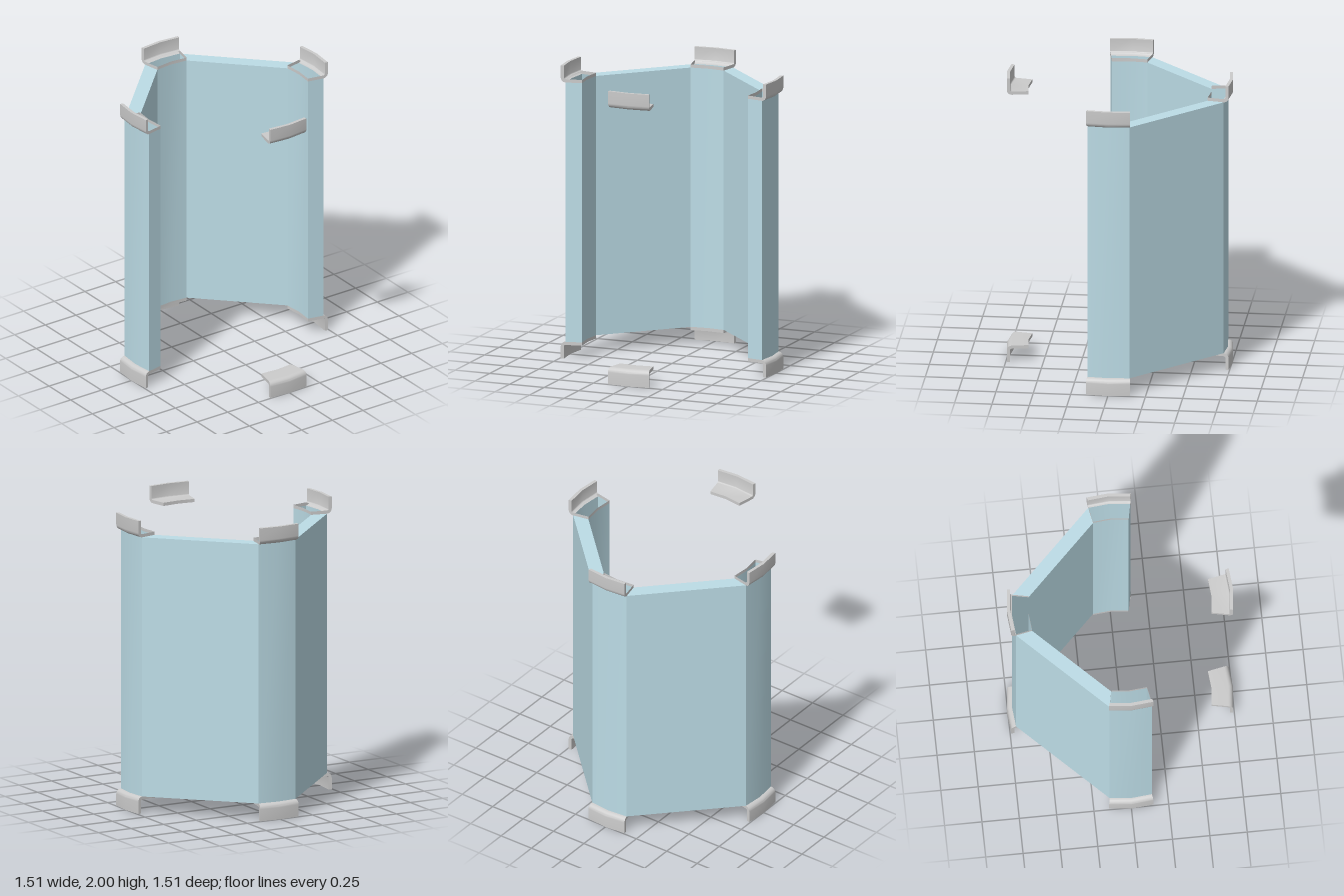
import * as THREE from 'three';
import { toCreasedNormals } from 'three/addons/utils/BufferGeometryUtils.js';

const WALL_R = 0.7237, INNER_R = 0.612, LIP_R = 0.757;
const BASE = 0.115, TOP = 2 - BASE;
const HALF = 11.25; // half the arc of one corner, in degrees

// Point at an angle (degrees from +z towards +x), radius and height
function polar(deg, r, y) {
  const a = THREE.MathUtils.degToRad(deg);
  return [Math.sin(a) * r, y, Math.cos(a) * r];
}

// Geometry from quads whose corners run counter-clockwise seen from outside
function fromQuads(quads) {
  const pos = quads.flatMap(([a, b, c, d]) => [...a, ...b, ...c, ...a, ...c, ...d]);
  const geo = new THREE.BufferGeometry();
  geo.setAttribute('position', new THREE.Float32BufferAttribute(pos, 3));
  return toCreasedNormals(geo, THREE.MathUtils.degToRad(25));
}

// Hollow wall: three curved corners joined by two flat diagonal panels
function wallGeometry() {
  const angles = [90, 180, 270].flatMap((m) => [m - HALF, m, m + HALF]);
  const quads = [];
  const ring = (deg) => [
    polar(deg, INNER_R, BASE), polar(deg, WALL_R, BASE),
    polar(deg, WALL_R, TOP), polar(deg, INNER_R, TOP),
  ];
  for (let i = 0; i < angles.length - 1; i++) {
    const a = ring(angles[i]), b = ring(angles[i + 1]);
    quads.push([a[1], b[1], b[2], a[2]]); // outside
    quads.push([b[0], a[0], a[3], b[3]]); // inside
    if (i % 3 === 2) { // only the diagonal panels are closed above and below
      quads.push([a[2], b[2], b[3], a[3]]);
      quads.push([a[0], b[0], b[1], a[1]]);
    }
  }
  quads.push(ring(angles[0]));
  quads.push(ring(angles[angles.length - 1]).reverse());
  return fromQuads(quads);
}

// Angled clip: flange, rounded bend and upright lip, swept round the arc
function clipGeometry(closedFlange) {
  const bend = LIP_R - WALL_R, thick = 0.022, steps = 6;
  const path = (rad) => {
    const pts = [[INNER_R, TOP + bend - rad]];
    for (let k = 0; k <= steps; k++) {
      const t = (k / steps - 1) * Math.PI / 2;
      pts.push([WALL_R + rad * Math.cos(t), TOP + bend + rad * Math.sin(t)]);
    }
    pts.push([WALL_R + rad, 2]);
    return pts;
  };
  const outer = path(bend), inner = path(bend - thick);
  const last = outer.length - 1;
  const quads = [];
  for (const [a, b] of [[-HALF, 0], [0, HALF]]) {
    const O = (deg, k) => polar(deg, ...outer[k]);
    const I = (deg, k) => polar(deg, ...inner[k]);
    for (let k = 0; k < last; k++) {
      if (k > 0 || closedFlange) {
        quads.push([O(a, k), O(b, k), O(b, k + 1), O(a, k + 1)]);
        quads.push([I(b, k), I(a, k), I(a, k + 1), I(b, k + 1)]);
      }
      // Side ends
      if (a < 0) quads.push([I(a, k), O(a, k), O(a, k + 1), I(a, k + 1)]);
      else quads.push([I(b, k + 1), O(b, k + 1), O(b, k), I(b, k)]);
    }
    quads.push([O(b, 0), O(a, 0), I(a, 0), I(b, 0)]); // flange edge
    quads.push([O(a, last), O(b, last), I(b, last), I(a, last)]); // lip edge
  }
  return fromQuads(quads);
}

export function createModel() {
  const model = new THREE.Group();
  model.name = 'openHousing';
  const grey = new THREE.MeshStandardMaterial({ color: 0xcccccc, side: THREE.DoubleSide });
  const blue = new THREE.MeshStandardMaterial({ color: 0xbcdce6, side: THREE.DoubleSide });

  const wall = new THREE.Mesh(wallGeometry(), blue);
  wall.name = 'wall';
  model.add(wall);

  // A pair of clips on each side; those on the wall have open flanges
  const openClip = clipGeometry(false), frontClip = clipGeometry(true);
  ['front', 'left', 'back', 'right'].forEach((side, i) => {
    const pair = new THREE.Group();
    pair.name = side + 'Clips';
    pair.rotation.y = i * Math.PI / 2;
    const upper = new THREE.Mesh(i === 0 ? frontClip : openClip, grey);
    upper.name = side + 'UpperClip';
    const lower = upper.clone();
    lower.name = side + 'LowerClip';
    lower.rotation.z = Math.PI;
    lower.position.y = 2;
    pair.add(upper, lower);
    model.add(pair);
  });
  return model;
}
